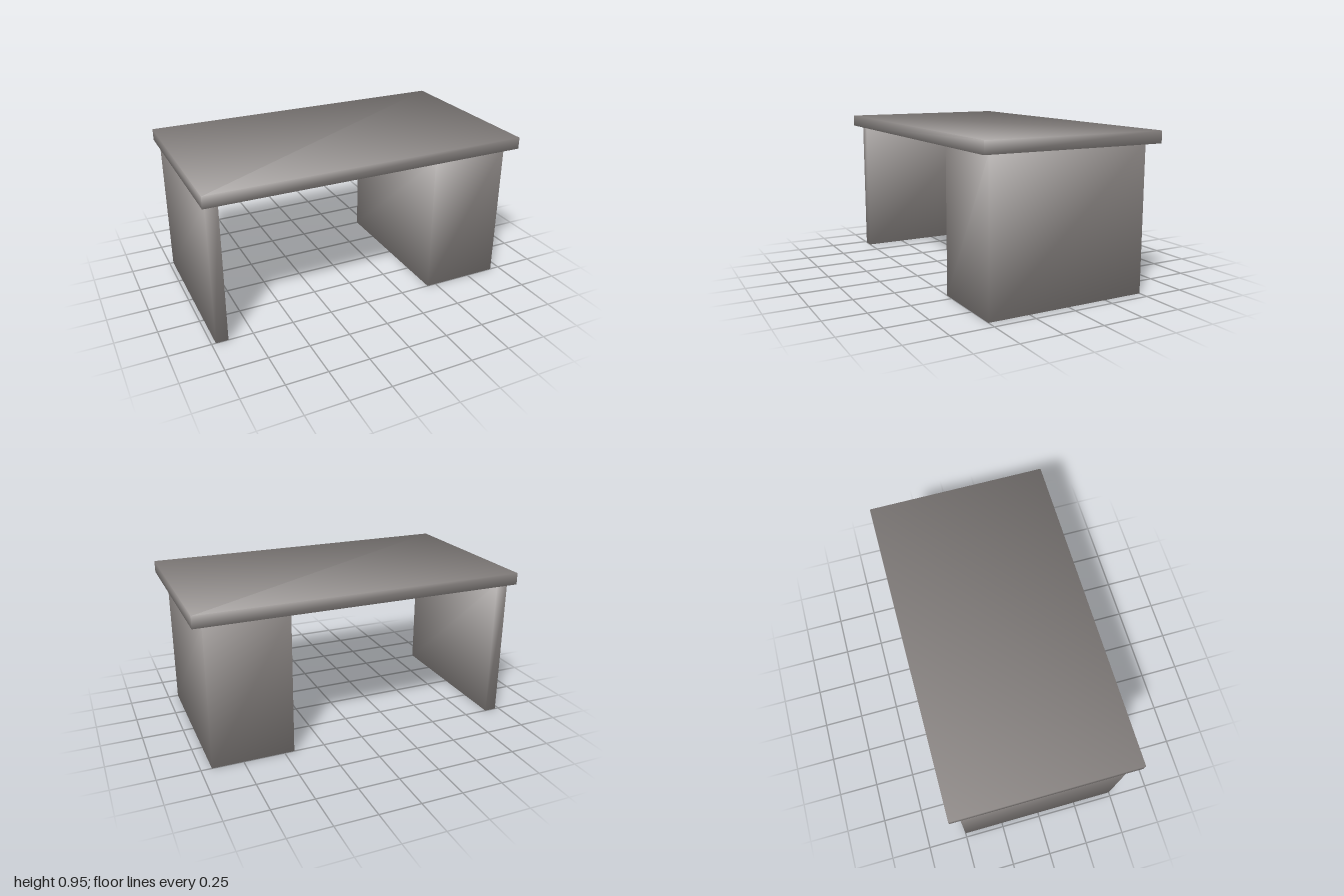
import * as THREE from 'three';

const round = Math.sqrt(1 / 3);

// Box between two corners, with normals smoothed across every edge
function softBox(name, min, max, material) {
  const size = max.map((v, i) => v - min[i]);
  const geometry = new THREE.BoxGeometry(...size);
  const { position, normal } = geometry.attributes;
  for (let i = 0; i < position.count; i++) {
    normal.setXYZ(
      i,
      Math.sign(position.getX(i)) * round,
      Math.sign(position.getY(i)) * round,
      Math.sign(position.getZ(i)) * round
    );
  }
  const mesh = new THREE.Mesh(geometry, material);
  mesh.name = name;
  mesh.position.set(...min.map((v, i) => v + size[i] / 2));
  return mesh;
}

export function createModel() {
  const desk = new THREE.Group();
  desk.name = 'desk';

  const grey = new THREE.MeshStandardMaterial({ color: 0x8c8785 });
  grey.name = 'warm grey';

  const underside = 0.878;
  const legDepth = 0.5;

  desk.add(
    // Overhanging slab
    softBox('tabletop', [-1, underside, -0.56], [1, 0.95, 0.56], grey),
    // Wide drawer block under one end
    softBox('pedestal', [0.44, 0, -legDepth], [0.937, underside, legDepth], grey),
    // Thin upright under the other end
    softBox('panelLeg', [-0.975, 0, -legDepth], [-0.9, underside, legDepth], grey)
  );
  return desk;
}
